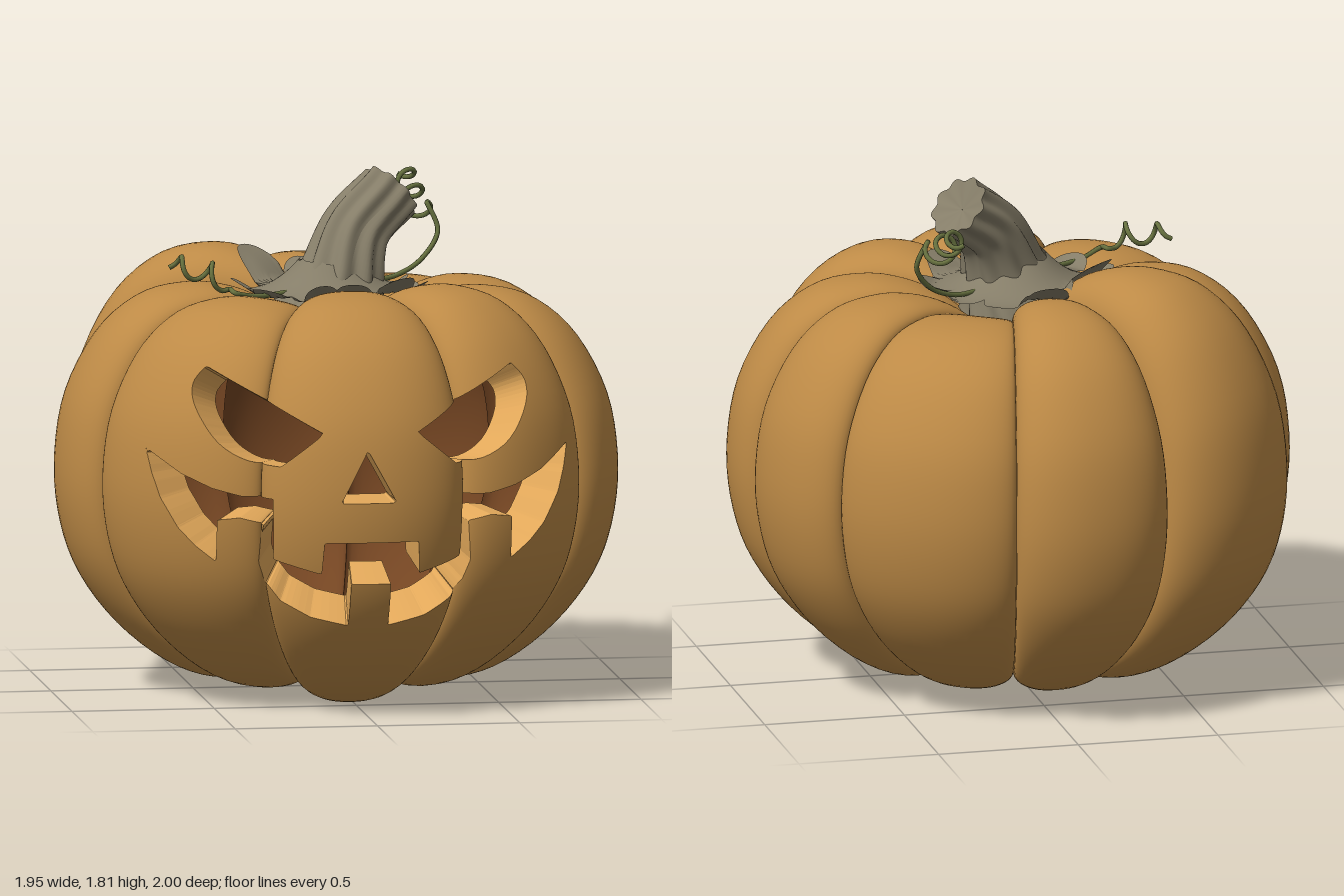
import * as THREE from 'three';

const mat = (name, color, side = THREE.FrontSide) => {
  const m = new THREE.MeshStandardMaterial({ color, side });
  m.name = name;
  return m;
};
const V3 = (x, y, z) => new THREE.Vector3(x, y, z);

// Rib layout: start angle (from +z towards +x), radius, crest height
const RIBS = [
  [-25.5, 1.0, 1.45], [21.7, 0.97, 1.45], [60.6, 0.985, 1.41], [91, 0.965, 1.41], [124.5, 0.945, 1.38],
  [167.8, 1.0, 1.45], [204, 1.035, 1.51], [248.3, 0.98, 1.42], [286, 0.95, 1.41],
].map(([a, R, H]) => ({ a: THREE.MathUtils.degToRad(a), R, H }));
RIBS.forEach((r, i) => { r.end = i < 8 ? RIBS[i + 1].a : RIBS[0].a + Math.PI * 2; });

// Crest profile from the stem over the outside to the base
const PROFILE = new THREE.SplineCurve([
  [0.004, 1.28], [0.14, 1.33], [0.26, 1.39], [0.38, 1.435], [0.52, 1.45], [0.69, 1.41], [0.845, 1.28], [0.96, 1.06],
  [1, 0.82], [0.985, 0.6], [0.92, 0.4], [0.785, 0.21], [0.6, 0.06], [0.42, 0], [0.22, 0.025], [0.004, 0.07],
].map(p => new THREE.Vector2(...p)));
const GROOVE = 0.87, MID = 0.72;

// Point on a rib: u runs -1..1 across it, t runs 0..1 from top to bottom
function ribPoint(i, u, t) {
  const { a, end, R, H } = RIBS[i], p = PROFILE.getPoint(t);
  const bulge = Math.sqrt(Math.max(0, 1 - Math.abs(u) ** 2.3));
  const top = p.y > MID, w = THREE.MathUtils.smoothstep(p.x, 0, 0.3);
  const crestY = top ? (H - MID) / (1.45 - MID) : i === 0 ? 1 : 0.95;
  const grooveY = top ? GROOVE : 1 - (1 - GROOVE) * w;
  const r = p.x * (GROOVE + (R - GROOVE) * bulge);
  const y = MID + (p.y - MID) * (grooveY + (crestY - grooveY) * bulge * w);
  const th = (a + end) / 2 + u * (end - a) / 2;
  return V3(r * Math.sin(th), y, r * Math.cos(th));
}

// Same surface addressed by any angle in one turn from the first groove
function bodyPoint(th, t) {
  const i = Math.max(0, RIBS.findIndex(r => th >= r.a && th <= r.end));
  const { a, end } = RIBS[i];
  return ribPoint(i, (2 * th - a - end) / (end - a), t);
}

// Carved openings as outlines in x and y
function openings() {
  const cx = -0.015, put = (s, pts) => pts.map(([x, y]) => [cx + s * x, y]);
  const eyeCurve = new THREE.SplineCurve([[0.53, 1.22], [0.578, 1.16], [0.575, 1.08], [0.51, 0.97], [0.41, 0.91], [0.31, 0.9]]
    .map(p => new THREE.Vector2(...p))).getPoints(20).map(p => [p.x, p.y]);
  const eye = [...eyeCurve, [0.165, 1.02]];
  const low = [[0.735, 0.93], [0.72, 0.85], [0.695, 0.765], [0.64, 0.665], [0.585, 0.605], [0.515, 0.55], [0.515, 0.7],
    [0.44, 0.71], [0.36, 0.69], [0.37, 0.55], [0.345, 0.48], [0.3, 0.42], [0.2, 0.365], [0.07, 0.335], [0.07, 0.49]];
  const up = [[0.165, 0.64], [0.172, 0.525], [0.33, 0.57], [0.335, 0.785], [0.43, 0.785], [0.53, 0.81], [0.63, 0.855]];
  const mouth = [...put(1, low), ...put(-1, low).reverse(), ...put(-1, up).reverse(), ...put(1, up)];
  return [put(1, eye), put(-1, eye), mouth, [[-0.03, 0.963], [-0.125, 0.78], [0.07, 0.78]]];
}
const HOLES = openings();

// Signed distance to the openings, negative inside one
function holeDistance(p) {
  if (p.z < 0.2) return 1;
  let best = 1;
  for (const h of HOLES) {
    let d = 1, inside = false;
    for (let i = 0, j = h.length - 1; i < h.length; j = i++) {
      const [ax, ay] = h[i], [bx, by] = h[j], ex = bx - ax, ey = by - ay;
      const k = THREE.MathUtils.clamp(((p.x - ax) * ex + (p.y - ay) * ey) / (ex * ex + ey * ey), 0, 1);
      d = Math.min(d, Math.hypot(p.x - ax - k * ex, p.y - ay - k * ey));
      if ((ay > p.y) !== (by > p.y) && p.x < ax + ex * (p.y - ay) / ey) inside = !inside;
    }
    best = Math.min(best, inside ? -d : d);
  }
  return best;
}

// Indexed grid from a point function; faces point along dv x du
function grid(nu, nv, fn) {
  const pos = [], idx = [];
  for (let j = 0; j <= nv; j++) for (let i = 0; i <= nu; i++) pos.push(...fn(i / nu, j / nv).toArray());
  for (let j = 0; j < nv; j++) for (let i = 0; i < nu; i++) {
    const a = j * (nu + 1) + i, b = a + nu + 1;
    idx.push(a, b, a + 1, a + 1, b, b + 1);
  }
  const g = new THREE.BufferGeometry();
  g.setAttribute('position', new THREE.Float32BufferAttribute(pos, 3));
  g.setIndex(idx);
  g.computeVertexNormals();
  return g;
}

function soup(tris, normals) {
  const g = new THREE.BufferGeometry();
  g.setAttribute('position', new THREE.Float32BufferAttribute(tris.flatMap(p => p.toArray()), 3));
  if (normals) g.setAttribute('normal', new THREE.Float32BufferAttribute(normals.flatMap(p => p.toArray()), 3));
  else g.computeVertexNormals();
  return g;
}

// Cut the openings out of a rib; returns kept triangles and the cut edges
function carve(geo) {
  const P = geo.attributes.position, N = geo.attributes.normal, kept = [], cuts = [];
  const vert = (p, n) => ({ p, n, d: holeDistance(p) });
  const mix = (a, b, k) => vert(a.p.clone().lerp(b.p, k), a.n.clone().lerp(b.n, k).normalize());
  const all = Array.from({ length: P.count }, (_, i) =>
    vert(V3().fromBufferAttribute(P, i), V3().fromBufferAttribute(N, i)));
  const clip = (a, b, c, depth) => {
    const t = [a, b, c];
    const size = Math.max(a.p.distanceTo(b.p), b.p.distanceTo(c.p), c.p.distanceTo(a.p));
    if (t.every(v => v.d > size)) { kept.push(a, b, c); return; }
    if (t.every(v => v.d < -size)) return;
    if (depth > 0) {
      const ab = mix(a, b, 0.5), bc = mix(b, c, 0.5), ca = mix(c, a, 0.5);
      [[a, ab, ca], [ab, b, bc], [ca, bc, c], [ab, bc, ca]].forEach(q => clip(...q, depth - 1));
      return;
    }
    const poly = [];
    let from, to;
    t.forEach((v, i) => {
      const w = t[(i + 1) % 3];
      if (v.d >= 0) poly.push(v);
      if ((v.d >= 0) !== (w.d >= 0)) {
        const m = mix(v, w, v.d / (v.d - w.d));
        poly.push(m);
        if (v.d >= 0) from = m; else to = m;
      }
    });
    for (let i = 1; i + 1 < poly.length; i++) kept.push(poly[0], poly[i], poly[i + 1]);
    if (from) cuts.push([from.p, to.p]);
  };
  const ix = geo.index.array;
  for (let i = 0; i < ix.length; i += 3) clip(all[ix[i]], all[ix[i + 1]], all[ix[i + 2]], 2);
  return { kept, cuts };
}

export function createModel() {
  const model = new THREE.Group();
  const skin = mat('orange skin', 0xbd8a46), flesh = mat('light flesh', 0xe2a85a), inside = mat('brown inside', 0x744522);
  const bark = mat('grey stem', 0x857d68, THREE.DoubleSide), vine = mat('green vine', 0x67713f);
  const add = (name, geo, m) => {
    const mesh = new THREE.Mesh(geo, m);
    mesh.name = name;
    model.add(mesh);
  };
  const centre = V3(0, 0.85, 0), inward = p => p.clone().sub(centre).multiplyScalar(0.835).add(centre);

  // Ribs, hollow inside; the front three are carved
  RIBS.forEach((_, i) => {
    const carved = i === 0 || i === 1 || i === 8;
    const g = grid(carved ? 36 : 28, 64, (u, t) => ribPoint(i, Math.sin((u - 0.5) * Math.PI), t));
    if (carved) {
      const { kept, cuts } = carve(g);
      add('carvedRib', soup(kept.map(v => v.p), kept.map(v => v.n)), skin);
      const back = kept.slice().reverse();
      add('innerWall', soup(back.map(v => inward(v.p)), back.map(v => v.n.clone().negate())), inside);
      add('cutEdge', soup(cuts.flatMap(([a, b]) => {
        const a2 = inward(a), b2 = inward(b);
        return [b, a, a2, b, a2, b2];
      })), flesh);
    } else {
      add('rib', g, skin);
      add('innerWall', grid(16, 40, (u, t) => inward(ribPoint(i, -Math.sin((u - 0.5) * Math.PI), t))), inside);
    }
  });

  // Scalloped collar flaring from the stem and draping over the rib tops
  add('collar', grid(160, 12, (s, k) => {
    const th = RIBS[0].a + s * Math.PI * 2;
    const reach = 1.95 + 0.85 * Math.abs(Math.sin(5 * th + 0.3)) ** 0.6;
    const p = bodyPoint(th, (0.8 + (reach - 0.8) * k) / 15);
    const flare = 1.385 + 0.12 * Math.max(0, (0.3 - Math.hypot(p.x, p.z)) / 0.2) ** 2;
    p.y = Math.max(p.y + 0.014 + 0.02 * k ** 4, flare);
    p.x -= 0.02;
    return p;
  }), bark);

  // Ridged, slightly twisted stem bending to one side
  const spine = new THREE.CatmullRomCurve3([V3(-0.02, 1.3, 0.01), V3(0.02, 1.43, 0), V3(0.08, 1.59, -0.05), V3(0.215, 1.715, -0.125)]);
  const stemPoint = (s, k, shrink = 1) => {
    const c = spine.getPoint(k), t = spine.getTangent(k);
    const e1 = V3(0, 0, 1).addScaledVector(t, -t.z).normalize(), e2 = t.clone().cross(e1);
    const a = s * Math.PI * 2, ridge = 1 + 0.08 * Math.cos(9 * a + 5 * k);
    const r = (0.108 + 0.09 * (1 - k) ** 2.2) * ridge * shrink;
    return c.addScaledVector(e1, r * Math.cos(a)).addScaledVector(e2, r * Math.sin(a));
  };
  add('stem', grid(90, 28, (s, k) => stemPoint(1 - s, k)), bark);
  const dent = spine.getTangent(1).multiplyScalar(-0.025);
  add('stemEnd', grid(90, 3, (s, k) => stemPoint(1 - s, 1, 1 - 0.99 * k).addScaledVector(dent, k)), bark);

  // Curling tendrils: a run of points, then a coil along an axis
  const tendril = (run, from, to, radius, turns, phase) => {
    const axis = to.clone().sub(from).normalize();
    const e1 = V3(0, 1, 0).addScaledVector(axis, -axis.y).normalize(), e2 = axis.clone().cross(e1);
    const pts = run.slice();
    for (let i = 0, n = turns * 10; i <= n; i++) {
      const k = i / n, a = phase + k * turns * Math.PI * 2, r = radius * (1 - 0.4 * k);
      pts.push(from.clone().lerp(to, k).addScaledVector(e1, r * Math.cos(a)).addScaledVector(e2, r * Math.sin(a)));
    }
    add('tendril', new THREE.TubeGeometry(new THREE.CatmullRomCurve3(pts), 140, 0.009, 7), vine);
  };
  tendril([V3(0.1, 1.4, -0.08), V3(0.24, 1.41, -0.17), V3(0.34, 1.46, -0.23), V3(0.4, 1.55, -0.27)],
    V3(0.335, 1.61, -0.31), V3(0.32, 1.73, -0.56), 0.05, 2.5, 0.6);
  tendril([V3(-0.08, 1.41, 0.05), V3(-0.2, 1.4, 0.13), V3(-0.31, 1.4, 0.2), V3(-0.39, 1.42, 0.25)],
    V3(-0.41, 1.465, 0.225), V3(-0.6, 1.51, 0.08), 0.045, 2, 2.6);

  return model;
}
